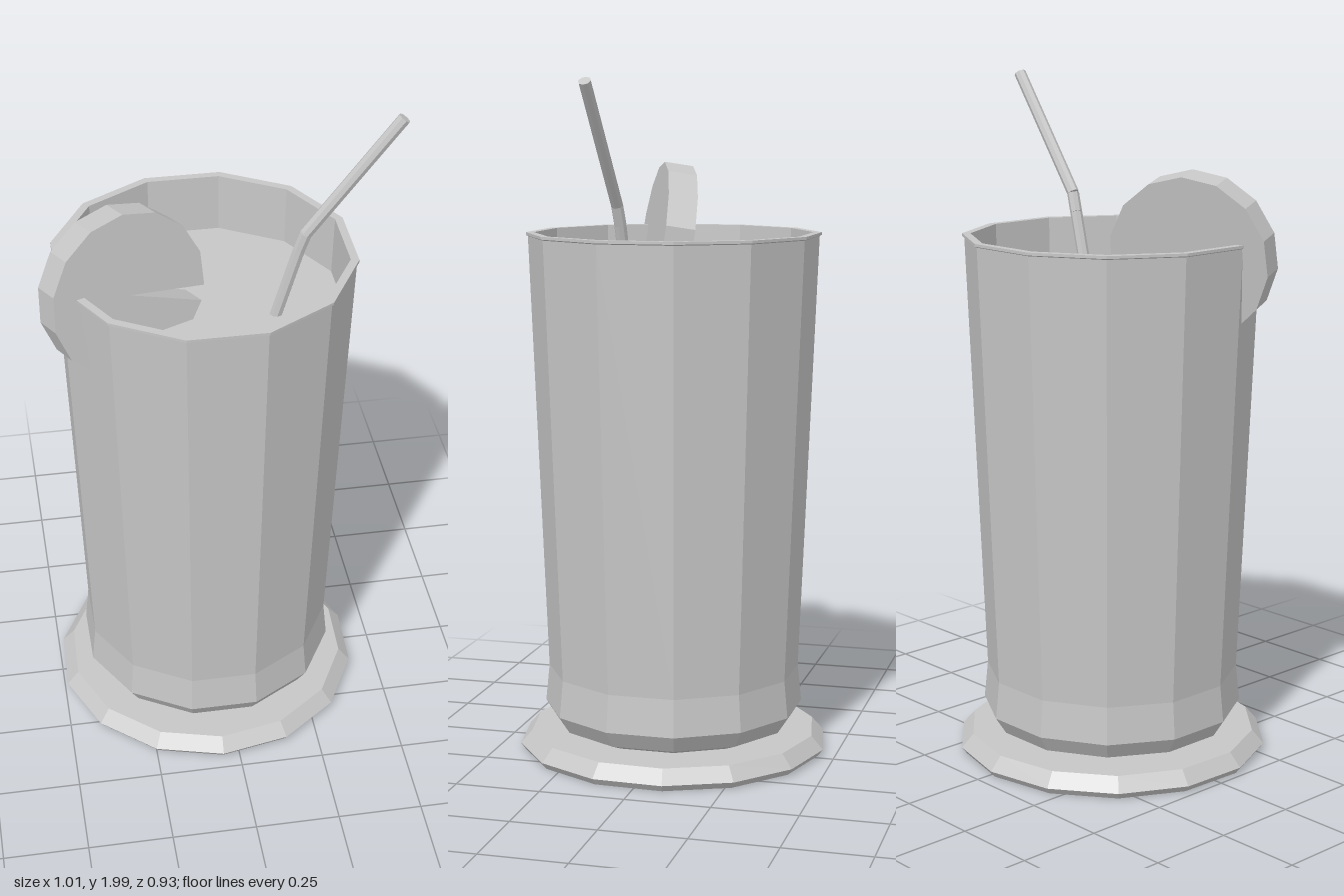
import * as THREE from 'three';

const rad = THREE.MathUtils.degToRad;

export function createModel() {
  const grey = new THREE.MeshStandardMaterial({ color: 0xc6c6c6 });
  grey.name = 'plain grey';
  const group = new THREE.Group();
  const centreX = -0.035;

  function add(name, geometry, parent = group) {
    // unshared vertices give every facet its own flat normal
    const flat = geometry.index ? geometry.toNonIndexed() : geometry;
    flat.computeVertexNormals();
    const mesh = new THREE.Mesh(flat, grey);
    mesh.name = name;
    parent.add(mesh);
    return mesh;
  }

  function turned(name, profile, sides, startDegrees) {
    const points = profile.map(([r, y]) => new THREE.Vector2(r, y));
    const mesh = add(name, new THREE.LatheGeometry(points, sides, rad(startDegrees)));
    mesh.position.x = centreX;
    return mesh;
  }

  // Fourteen-sided coaster with a bevelled edge
  turned('coaster', [
    [0, 0.005], [0.45, 0.005], [0.465, 0.025], [0.43, 0.065], [0, 0.065],
  ], 14, -2);

  // Twelve-sided tumbler: flared foot, tapering wall, thin lip, hollow top
  turned('glass', [
    [0, 0.07], [0.305, 0.07], [0.355, 0.09], [0.387, 0.14], [0.376, 0.25],
    [0.428, 1.545], [0.434, 1.548], [0.434, 1.556], [0.41, 1.556], [0.404, 1.37],
  ], 12, 15);

  // Flat surface of the drink
  turned('drink', [[0.406, 1.38], [0, 1.38]], 12, 15);

  // Fruit slice with a narrow slit, leaning back on the rim
  const radius = 0.24, depth = 0.088, steps = 14;
  const slitTop = -11, slitBottom = -22;
  const outline = new THREE.Shape();
  outline.moveTo(0, 0);
  for (let i = 0; i <= steps; i++) {
    const a = rad(slitTop + (360 + slitBottom - slitTop) * i / steps);
    outline.lineTo(radius * Math.cos(a), radius * Math.sin(a));
  }
  const sliceGeometry = new THREE.ExtrudeGeometry(outline, { depth, bevelEnabled: false });
  sliceGeometry.translate(0, 0, -depth / 2);
  const slice = add('fruitSlice', sliceGeometry);
  slice.position.set(-0.277, 1.51, 0.088);
  slice.rotation.set(rad(-9), rad(23.4), 0, 'YXZ');

  // Bent drinking straw
  const straw = new THREE.Group();
  straw.name = 'straw';
  group.add(straw);
  const path = [
    [0.13, 1.28, 0.078], [0.217, 1.59, 0.088], [0.235, 1.645, 0.092], [0.49, 1.988, 0.105],
  ].map((p) => new THREE.Vector3(...p));
  const up = new THREE.Vector3(0, 1, 0);
  for (let i = 0; i < path.length - 1; i++) {
    const along = path[i + 1].clone().sub(path[i]);
    const part = add('strawSection', new THREE.CylinderGeometry(0.018, 0.018, along.length(), 8), straw);
    part.position.copy(path[i]).addScaledVector(along, 0.5);
    part.quaternion.setFromUnitVectors(up, along.normalize());
  }

  return group;
}
